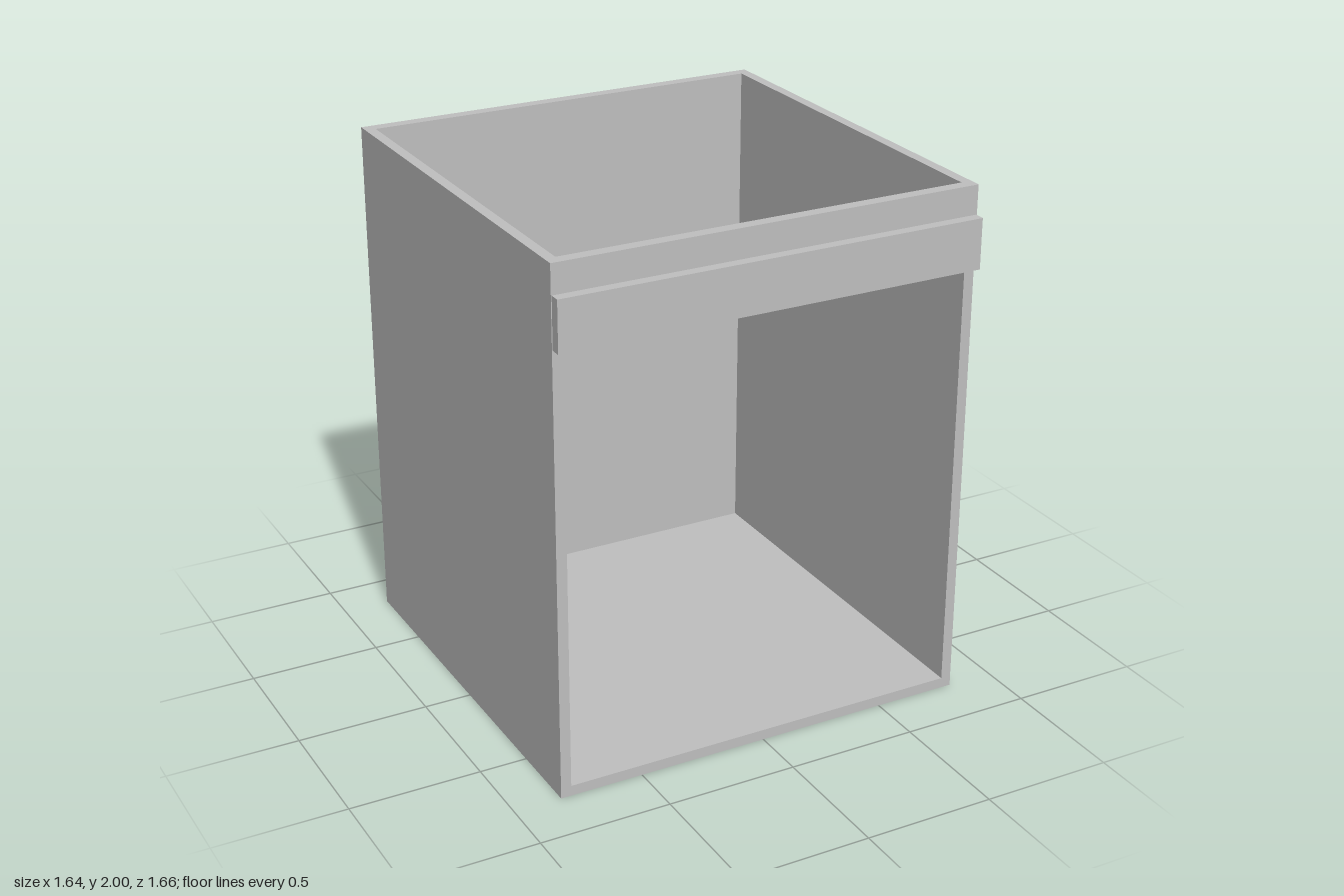
import * as THREE from 'three';

export function createModel() {
  const group = new THREE.Group();
  const grey = new THREE.MeshStandardMaterial({ color: 0xc0c0c0 });
  grey.name = 'plain grey';

  // Box given by its lower and upper corners
  const panel = (name, [x0, y0, z0], [x1, y1, z1]) => {
    const geometry = new THREE.BoxGeometry(x1 - x0, y1 - y0, z1 - z0);
    geometry.translate((x0 + x1) / 2, (y0 + y1) / 2, (z0 + z1) / 2);
    const mesh = new THREE.Mesh(geometry, grey);
    mesh.name = name;
    group.add(mesh);
  };

  const W = 0.82, T = 0.04, inner = W - T; // half width, board thickness
  const back = -0.83, front = 0.79, railBottom = 1.81;

  // Carcass: two sides and a floor, open at the top and front
  panel('rightSide', [-W, 0, back], [-inner, 2, front]);
  panel('leftSide', [inner, 0, back], [W, 2, front]);
  panel('floor', [-inner, 0, back], [inner, T, front]);

  // Top rails joining the sides
  panel('backRail', [-inner, railBottom, back], [inner, 2, back + 0.045]);
  panel('frontRail', [-inner, railBottom, front - 0.045], [inner, 2, front]);

  // Thin back sheet, recessed from outside and flush inside
  panel('backSheet', [-inner, T, back + 0.04], [inner, railBottom, back + 0.045]);

  // Overlapping strip across the front
  panel('frontStrip', [-0.817, 1.7, front], [0.817, 1.89, 0.83]);

  return group;
}
